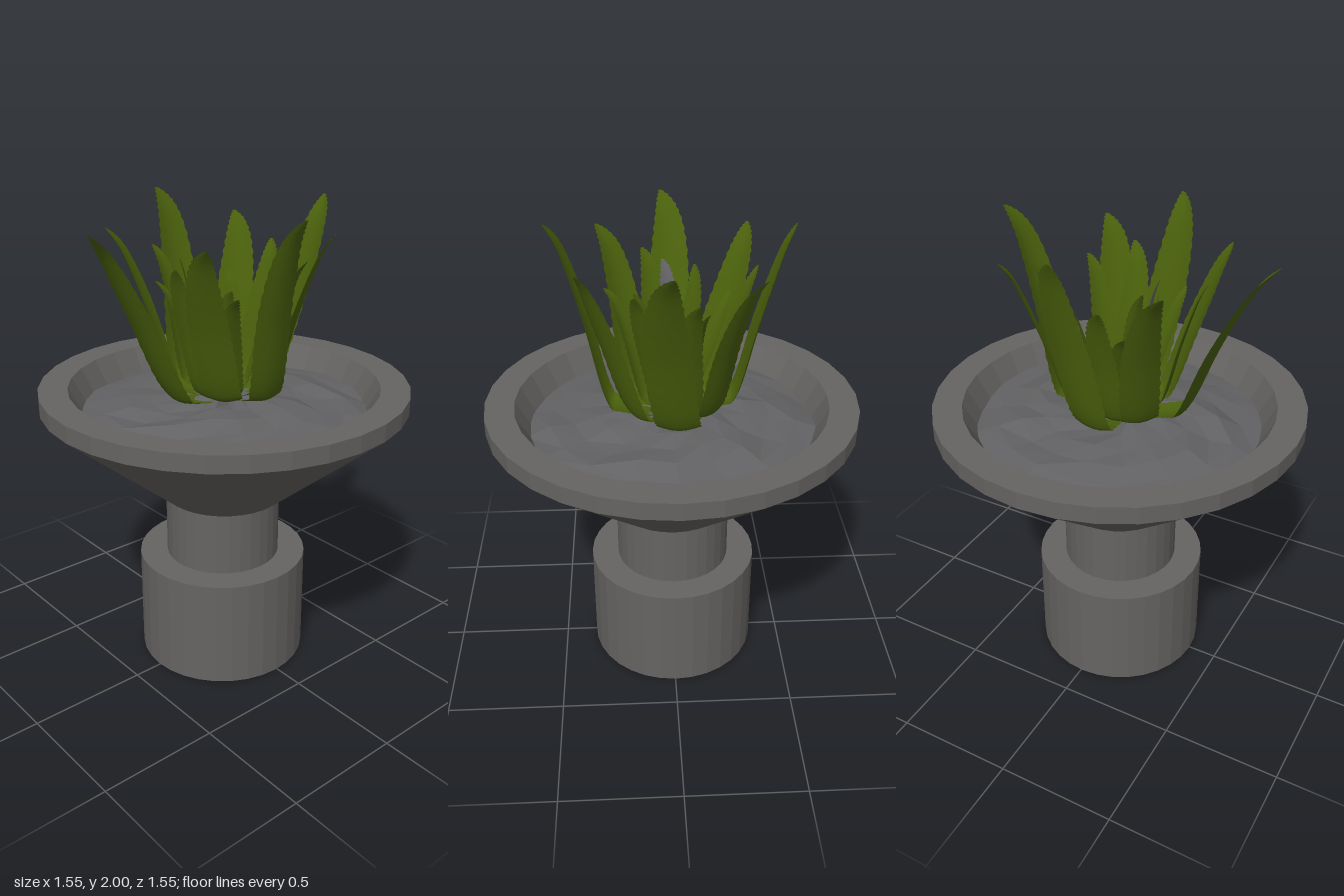
import * as THREE from 'three';

const stone = new THREE.MeshStandardMaterial({ color: 0x666462 });
stone.name = 'stone grey';
const soilGrey = new THREE.MeshStandardMaterial({ color: 0x626163, side: THREE.DoubleSide });
soilGrey.name = 'soil grey';
const leafGreen = new THREE.MeshStandardMaterial({ color: 0x4a600c, side: THREE.DoubleSide });
leafGreen.name = 'leaf green';
const dryGrey = new THREE.MeshStandardMaterial({ color: 0x66666c, side: THREE.DoubleSide });
dryGrey.name = 'dry leaf grey';

const SIDES = 32;
const V2 = (x, y) => new THREE.Vector2(x, y);

// Gives every face its own flat normal
function faceted(geometry) {
  const flat = geometry.index ? geometry.toNonIndexed() : geometry;
  flat.computeVertexNormals();
  return flat;
}

function addMesh(parent, name, geometry, material) {
  const mesh = new THREE.Mesh(geometry, material);
  mesh.name = name;
  parent.add(mesh);
  return mesh;
}

// Indexed grid surface from a point function, (rows + 1) x (cols + 1)
function gridSurface(rows, cols, pointAt) {
  const positions = [], index = [];
  for (let i = 0; i <= rows; i++) {
    for (let j = 0; j <= cols; j++) {
      positions.push(...pointAt(i, j));
      if (i < rows && j < cols) {
        const a = i * (cols + 1) + j, b = a + cols + 1;
        index.push(a, b, a + 1, b, b + 1, a + 1);
      }
    }
  }
  const geometry = new THREE.BufferGeometry();
  geometry.setAttribute('position', new THREE.Float32BufferAttribute(positions, 3));
  geometry.setIndex(index);
  geometry.computeVertexNormals();
  return geometry;
}

// Uneven ground: a polar grid rising gently towards the middle
function soilGeometry() {
  const cols = 18, rows = 6;
  const noise = (i, j) => {
    const s = Math.sin(i * 12.99 + (j % cols) * 78.23) * 43758.55;
    return s - Math.floor(s) - 0.5;
  };
  return faceted(gridSurface(rows, cols, (i, j) => {
    const r = 0.615 * i / rows, a = (j % cols) / cols * Math.PI * 2;
    const y = 1.205 - 0.055 * (i / rows) ** 2 + (i ? 0.035 * noise(i, j) : 0);
    return [r * Math.sin(a), y, r * Math.cos(a)];
  }));
}

// Cupped, toothed blade that runs out along the soil, then rises to its tip
function leafGeometry(tipX, tipZ, tipY, foot, width) {
  const reach = Math.hypot(tipX, tipZ), dx = tipX / reach, dz = tipZ / reach;
  const spine = new THREE.SplineCurve([
    V2(0.03, 1.19), V2(foot * 0.75, 1.23), V2(foot, 1.29),
    V2(foot + (reach - foot) * 0.36, 1.29 + (tipY - 1.29) * 0.45),
    V2(foot + (reach - foot) * 0.74, 1.29 + (tipY - 1.29) * 0.84), V2(reach, tipY),
  ]);
  const rows = 56, cols = 6;
  return gridSurface(rows, cols, (i, j) => {
    const t = i / rows, v = j / cols * 2 - 1;
    const p = spine.getPoint(t), tan = spine.getTangent(t);
    const swell = 0.5 + 0.5 * Math.sin(Math.min(1, t / 0.5) * Math.PI / 2);
    const taper = t > 0.5 ? Math.cos((t - 0.5) * Math.PI) ** 0.9 : 1;
    const half = width / 2 * swell * Math.max(0, taper);
    const tooth = Math.abs(v) === 1 && i % 2 && i < rows ? 0.006 : 0;
    const side = v * half + Math.sign(v) * tooth + 0.03 * Math.sin(t * Math.PI * 2) * width / 0.18;
    const cup = 0.22 * half * (v * v - 0.5);
    const r = p.x - tan.y * cup, y = p.y + tan.x * cup;
    return [dx * r + dz * side, y, dz * r - dx * side];
  });
}

export function createModel() {
  const model = new THREE.Group();
  model.name = 'planter';

  // Pedestal
  const base = addMesh(model, 'base', faceted(new THREE.CylinderGeometry(0.366, 0.366, 0.47, SIDES)), stone);
  base.position.set(-0.004, 0.235, 0.008);
  const neck = addMesh(model, 'neck', faceted(new THREE.CylinderGeometry(0.248, 0.248, 0.3, SIDES)), stone);
  neck.position.set(-0.004, 0.61, 0.006);

  // Flared bowl with an upright rim and a sloping inner wall
  const bowl = [
    V2(0, 0.75), V2(0.262, 0.75), V2(0.775, 1.178), V2(0.775, 1.25),
    V2(0.653, 1.25), V2(0.58, 1.12),
  ];
  addMesh(model, 'bowl', faceted(new THREE.LatheGeometry(bowl, SIDES)), stone);
  addMesh(model, 'soil', soilGeometry(), soilGrey);

  // Leaves: tip x, tip z, tip height, radius where the blade turns up, width
  const plant = new THREE.Group();
  plant.name = 'plant';
  model.add(plant);
  const outer = [
    [0.02, 0.64, 1.94, 0.3, 0.18], [0.02, -0.54, 1.98, 0.27, 0.18],
    [-0.475, -0.02, 2.0, 0.27, 0.17], [0.49, 0.03, 1.99, 0.27, 0.17],
  ];
  const middle = [
    [-0.33, -0.335, 1.89, 0.22, 0.16], [0.36, -0.26, 1.89, 0.22, 0.16],
    [-0.33, 0.345, 1.89, 0.22, 0.16], [0.3, 0.34, 1.89, 0.22, 0.16],
    [0.35, -0.12, 1.8, 0.19, 0.12], [-0.35, 0.1, 1.79, 0.19, 0.11],
    [-0.09, -0.34, 1.8, 0.19, 0.12], [0.11, 0.33, 1.79, 0.19, 0.11],
  ];
  const inner = [
    [0.15, -0.23, 1.79, 0.11, 0.1], [-0.1, 0.15, 1.78, 0.09, 0.09],
    [0.15, 0.09, 1.68, 0.09, 0.09], [-0.14, -0.14, 1.68, 0.09, 0.09],
    [-0.25, 0.16, 1.66, 0.12, 0.09], [0.27, 0.16, 1.68, 0.14, 0.09],
  ];
  for (const [name, leaves] of [['outerLeaf', outer], ['middleLeaf', middle], ['innerLeaf', inner]])
    for (const leaf of leaves) addMesh(plant, name, leafGeometry(...leaf), leafGreen);

  // One withered leaf near the heart
  addMesh(plant, 'dryLeaf', leafGeometry(0.03, 0.16, 1.8, 0.07, 0.08), dryGrey);

  return model;
}
